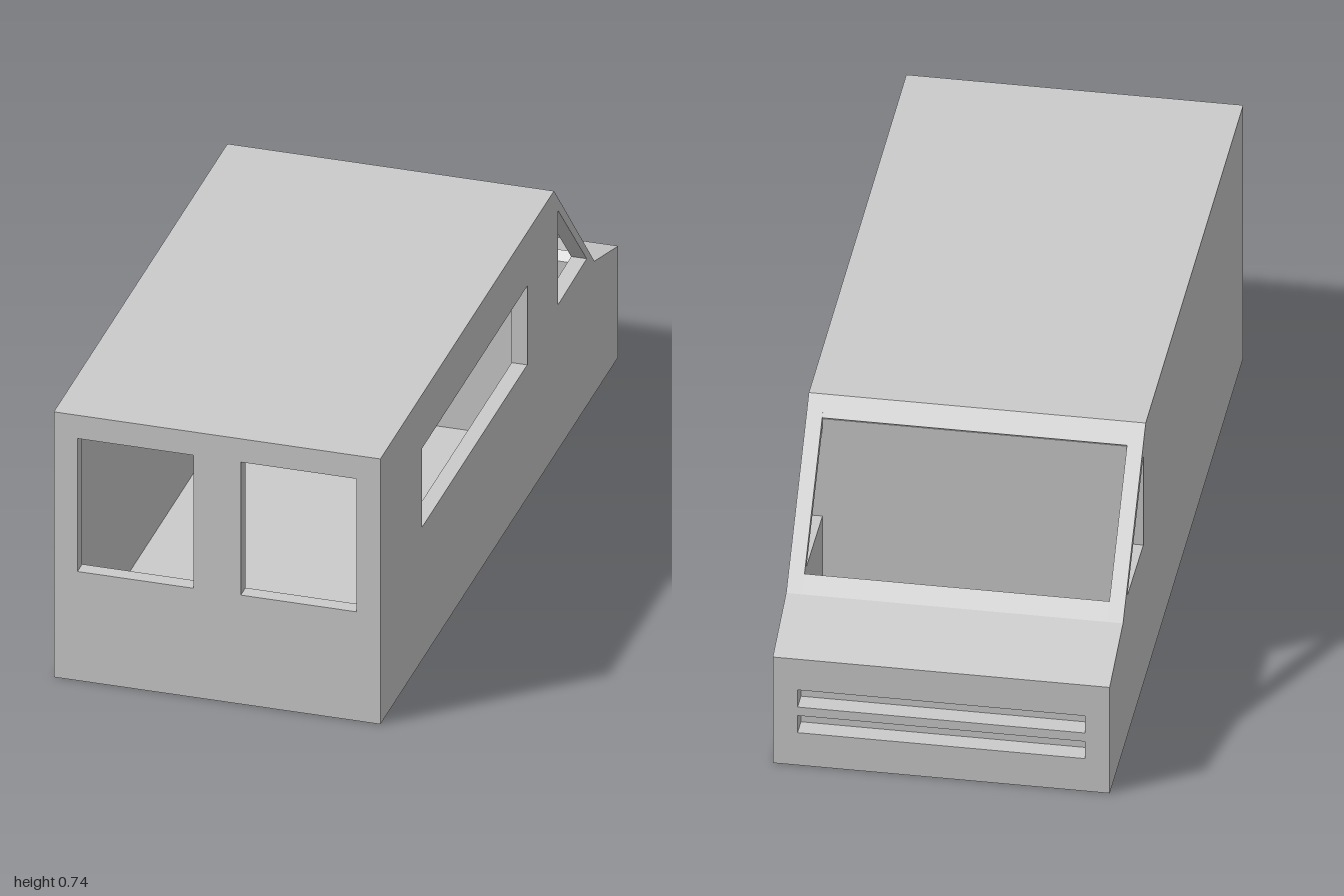
import * as THREE from 'three';

const W = 0.42;  // half width of the body
const T = 0.04;  // wall thickness
const IN = W - T;
const material = new THREE.MeshStandardMaterial({ color: 0xcccccc, flatShading: true });

const toPoints = (list) => list.map(([a, b]) => new THREE.Vector2(a, b));
const rect = (a0, a1, b0, b1) => [[a0, b0], [a1, b0], [a1, b1], [a0, b1]];

function extrude(outline, holes, depth) {
  const shape = new THREE.Shape(toPoints(outline));
  for (const hole of holes) shape.holes.push(new THREE.Path(toPoints(hole)));
  return new THREE.ExtrudeGeometry(shape, { depth, bevelEnabled: false });
}

// A (z, y) outline swept across the body from x0 to x1
function acrossX(name, outline, x0, x1, holes = []) {
  const geometry = extrude(outline, holes, x1 - x0);
  geometry.rotateY(-Math.PI / 2).translate(x1, 0, 0);
  const mesh = new THREE.Mesh(geometry, material);
  mesh.name = name;
  return mesh;
}

// An (x, y) outline swept along the body from z0 to z1
function alongZ(name, outline, z0, z1, holes = []) {
  const geometry = extrude(outline, holes, z1 - z0).translate(0, 0, z0);
  const mesh = new THREE.Mesh(geometry, material);
  mesh.name = name;
  return mesh;
}

export function createModel() {
  const van = new THREE.Group();
  van.name = 'van';

  // Side walls with triangular cab windows; only one side has a long window
  const profile = [[-1, 0], [1, 0], [1, 0.74], [-0.46, 0.74], [-0.8, 0.37], [-1, 0.31]];
  const cabWindow = [[-0.495, 0.405], [-0.735, 0.41], [-0.495, 0.667]];
  const longWindow = rect(-0.235, 0.65, 0.37, 0.59);
  van.add(acrossX('windowSideWall', profile, IN, W, [cabWindow, longWindow]));
  van.add(acrossX('plainSideWall', profile, -W, -IN, [cabWindow]));

  // Roof, ending in the upper edge of the windscreen opening
  van.add(acrossX('roof', [
    [0.96, 0.7], [0.96, 0.74], [-0.46, 0.74], [-0.5, 0.696], [-0.478, 0.676], [-0.455, 0.7],
  ], -IN, IN));

  // Floor and the partition between cab and load space
  van.add(acrossX('floor', rect(-0.743, 0.96, 0, T), -IN, IN));
  van.add(acrossX('partition', [
    [-0.495, T], [-0.455, T], [-0.455, 0.72], [-0.495, 0.69],
  ], -IN, IN));

  // Bonnet and nose, up to the lower edge of the windscreen opening
  van.add(acrossX('bonnet', [
    [-0.95, 0], [-0.743, 0], [-0.743, 0.388], [-0.765, 0.408], [-0.8, 0.37],
    [-1, 0.31], [-0.95, 0.31],
  ], -IN, IN));

  // Nose panel with two grille slots
  const slots = [0.095, 0.17].map((y) => rect(-0.358, 0.358, y, y + 0.05));
  van.add(alongZ('grillePanel', rect(-IN, IN, 0, 0.31), -1, -0.95, slots));

  // Rear panel with a pair of windows
  const rearWindows = [-0.21, 0.21].map((x) => rect(x - 0.149, x + 0.149, 0.304, 0.675));
  van.add(alongZ('rearPanel', rect(-IN, IN, 0, 0.74), 1 - T, 1, rearWindows));

  return van;
}
